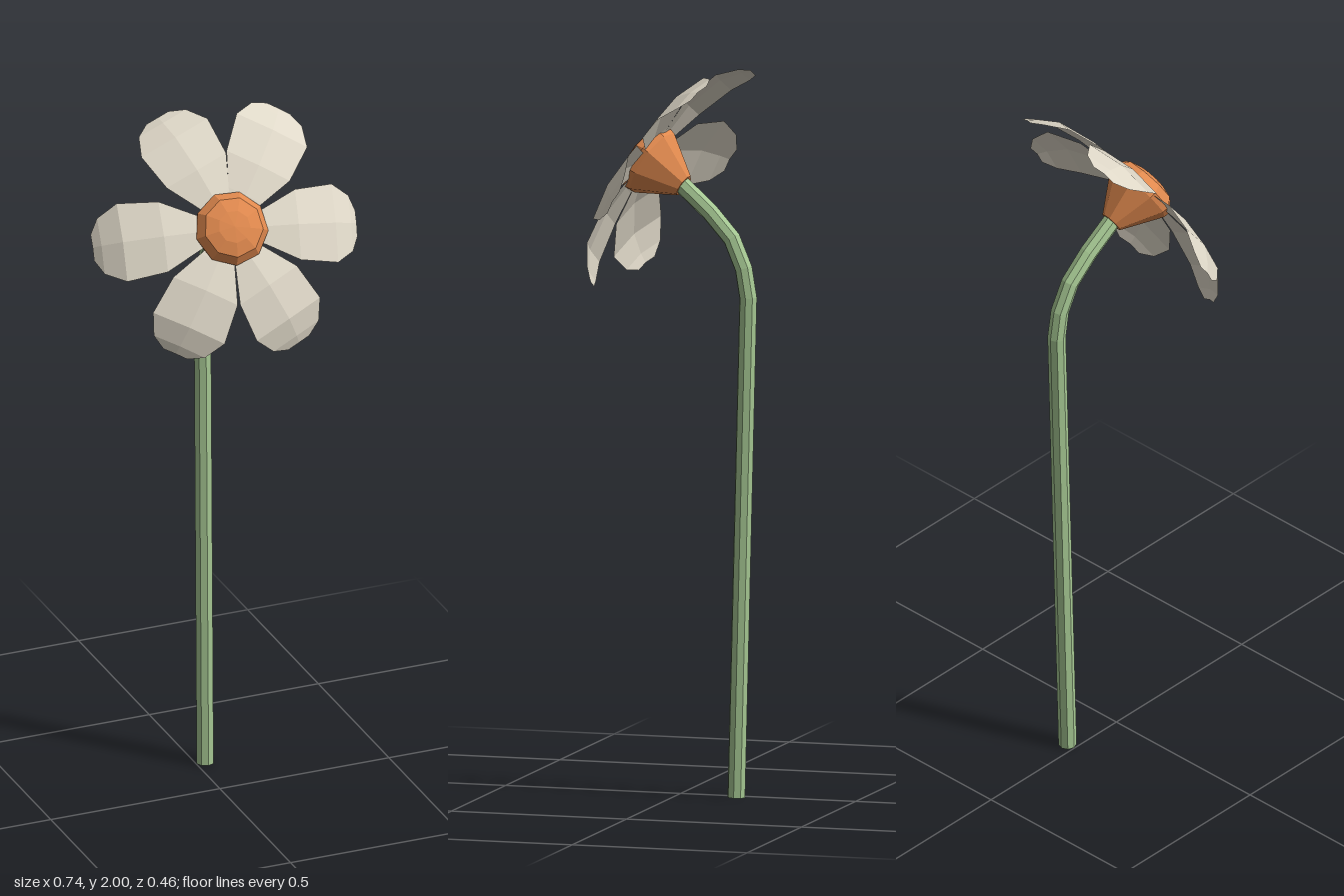
import * as THREE from 'three';

const mat = (name, color, side = THREE.FrontSide) =>
  new THREE.MeshStandardMaterial({ name, color, side, flatShading: true });

// A petal lying along +x: rows of [distance, half width, height], bent back at the tip
function petalGeometry(scale) {
  const rows = [
    [0.03, 0.02, 0], [0.1, 0.052, 0], [0.19, 0.097, -0.006],
    [0.3, 0.108, -0.034], [0.352, 0.077, -0.068], [0.372, 0.036, -0.085],
  ];
  const geo = new THREE.PlaneGeometry(2, 1, 2, rows.length - 1);
  const pos = geo.attributes.position;
  for (let i = 0; i < pos.count; i++) {
    const [r, w, h] = rows[Math.floor(i / 3)];
    const col = (i % 3) - 1;
    const ridge = col === 0 ? 0.11 * w : 0;
    pos.setXYZ(i, r * scale, col * w, h + ridge);
  }
  geo.computeVertexNormals();
  return geo;
}

export function createModel() {
  const model = new THREE.Group();
  model.name = 'flower';
  const cream = mat('petalCream', 0xdfd8c8, THREE.DoubleSide);
  const orange = mat('centreOrange', 0xe0894e);
  const green = mat('stemGreen', 0xa6c893);

  const add = (parent, geo, material, name) => {
    const mesh = new THREE.Mesh(geo, material);
    mesh.name = name;
    parent.add(mesh);
    return mesh;
  };

  // Stem: long straight run, then a bend forward into the flower head
  const path = new THREE.CatmullRomCurve3([
    [0.026, 0, -0.167], [0.033, 1.38, -0.203], [0.033, 1.46, -0.19],
    [0.028, 1.54, -0.155], [0.02, 1.61, -0.09], [0.008, 1.69, 0.005],
  ].map((p) => new THREE.Vector3(...p)));
  path.getUtoTmapping = (u) => u; // one ring at each point
  add(model, new THREE.TubeGeometry(path, 5, 0.025, 8), green, 'stem');
  const cap = add(model, new THREE.CircleGeometry(0.025, 8), green, 'stemEnd');
  cap.position.set(0.026, 0.001, -0.167);
  cap.rotation.x = Math.PI / 2;

  // Flower head, facing forward and a little up
  const head = new THREE.Group();
  head.name = 'flowerHead';
  head.position.set(-0.005, 1.74, 0.09);
  head.rotation.set(-0.55, -0.13, 0, 'YXZ');
  model.add(head);

  // Centre: cone behind, shallow dome in front
  const profile = [
    [0, -0.12], [0.032, -0.12], [0.1, -0.01], [0.103, 0.008],
    [0.083, 0.034], [0.045, 0.046], [0, 0.05],
  ].map(([r, h]) => new THREE.Vector2(r, h));
  const centre = add(head, new THREE.LatheGeometry(profile, 9), orange, 'flowerCentre');
  centre.rotation.x = Math.PI / 2;

  // Six petals, slightly unevenly spread: [angle, length]
  [[-3, 1], [58, 1.01], [113, 0.97], [180, 1], [240, 0.98], [297, 0.98]].forEach(([angle, length], i) => {
    const petal = add(head, petalGeometry(length), cream, `petal${i + 1}`);
    petal.rotation.z = THREE.MathUtils.degToRad(angle);
  });

  return model;
}
